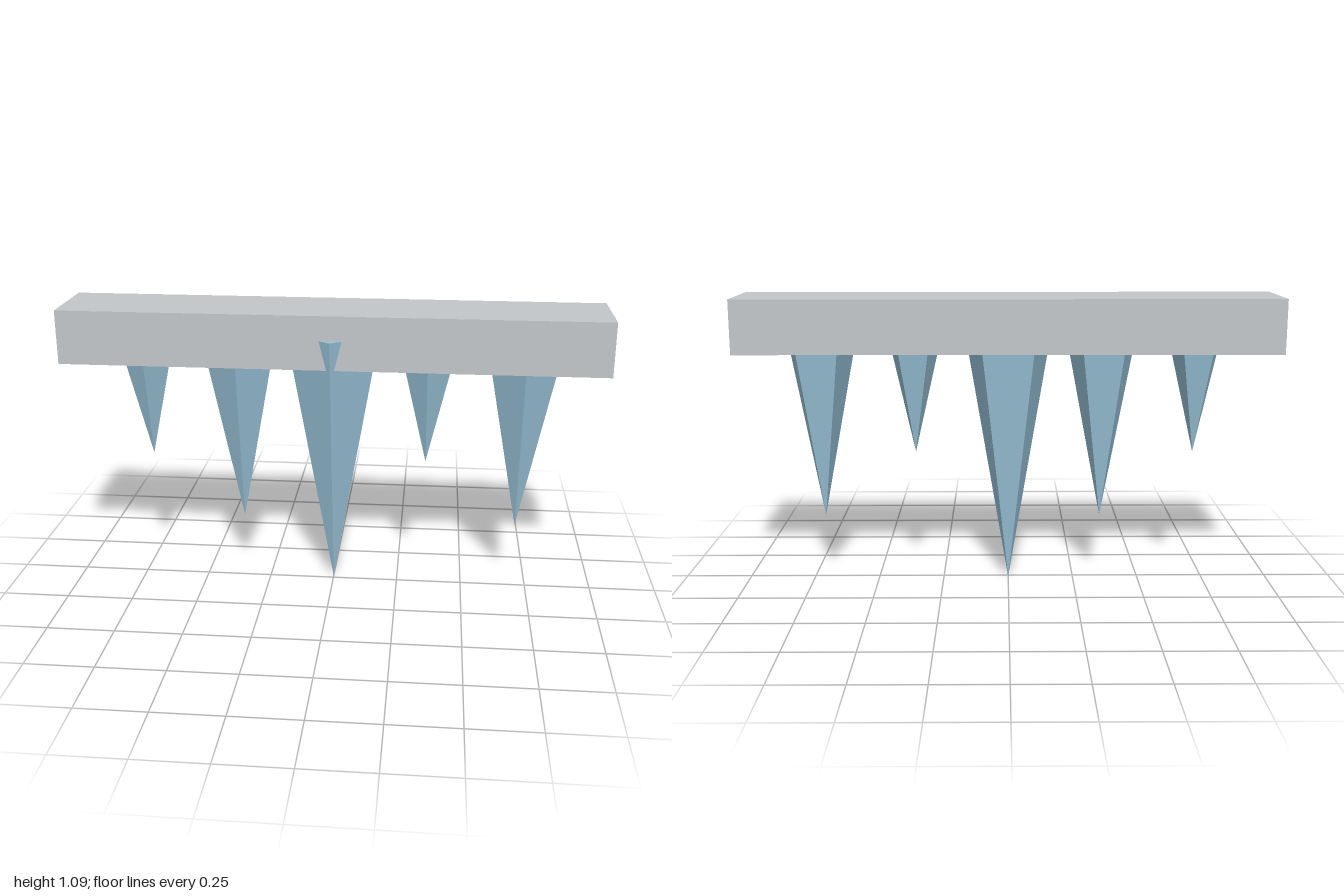
import * as THREE from 'three';

export function createModel() {
  const model = new THREE.Group();
  const stone = new THREE.MeshStandardMaterial({ color: 0xc2c6ca });
  stone.name = 'paleGrey';
  const ice = new THREE.MeshStandardMaterial({ color: 0x98c2d8 });
  ice.name = 'iceBlue';
  const z = -0.015;

  // Long ledge the icicles hang from
  const ledge = new THREE.Mesh(new THREE.BoxGeometry(2, 0.2, 0.3), stone);
  ledge.name = 'ledge';
  ledge.position.set(0, 0.991, z);
  model.add(ledge);

  // Five-sided icicles, tips down, tops buried in the ledge at y = 1
  const icicles = [
    // x, radius, length
    [-0.7, 0.12, 0.5],
    [-0.35, 0.15, 0.75],
    [0, 0.18, 1],
    [0.35, 0.12, 0.5],
    [0.7, 0.15, 0.75],
  ];
  icicles.forEach(([x, radius, length], i) => {
    // Non-indexed geometry with face normals keeps the facets flat
    const geometry = new THREE.ConeGeometry(radius, length, 5).toNonIndexed();
    geometry.rotateZ(Math.PI);
    geometry.computeVertexNormals();
    const icicle = new THREE.Mesh(geometry, ice);
    icicle.name = `icicle${i + 1}`;
    icicle.position.set(x, 1 - length / 2, z);
    model.add(icicle);
  });

  return model;
}
